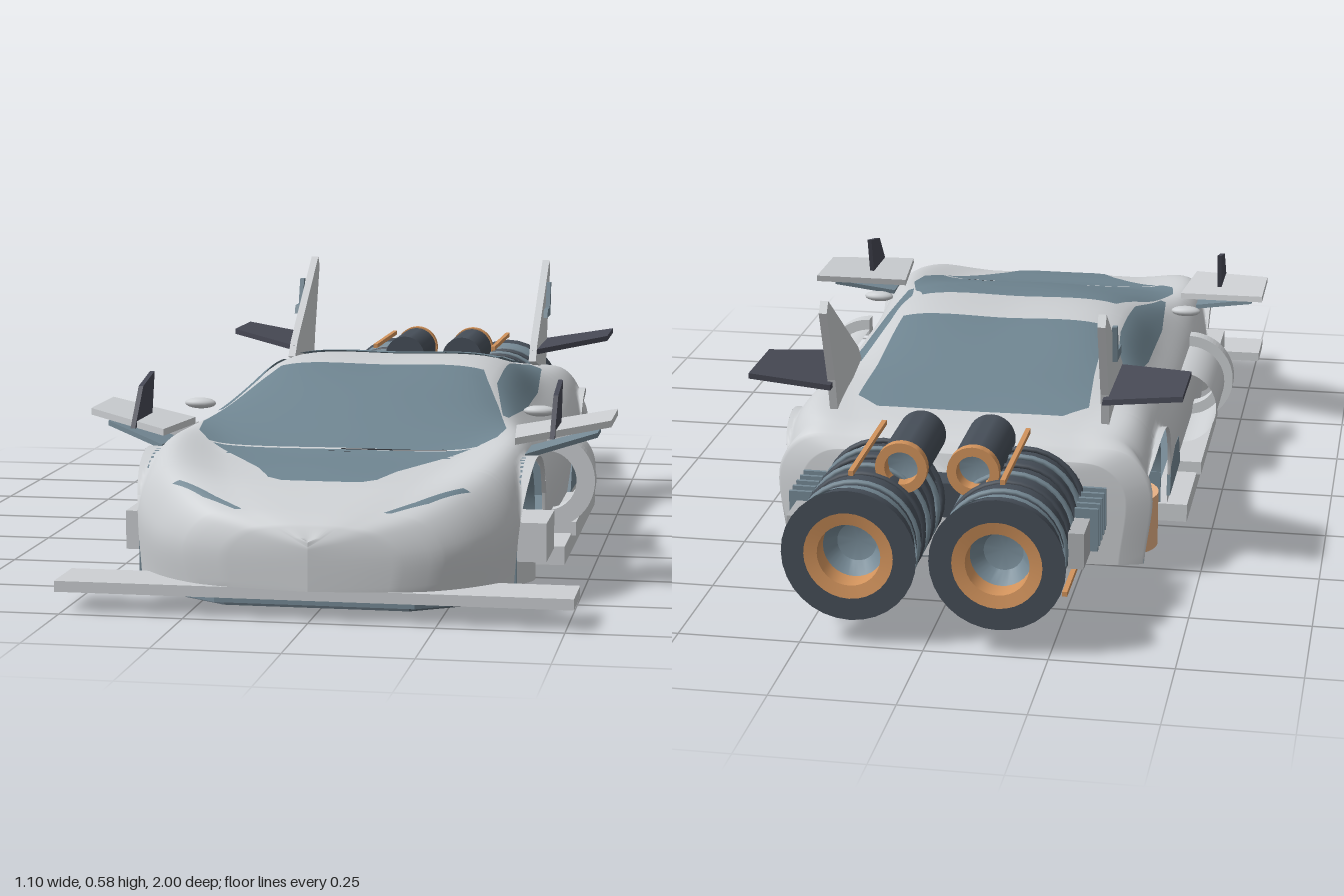
import * as THREE from 'three';
import { toCreasedNormals } from 'three/addons/utils/BufferGeometryUtils.js';

const paint = (name, color) => new THREE.MeshStandardMaterial({ name, color, side: THREE.DoubleSide });
const M = {
  body: paint('silver paint', 0xcdd0d3), glass: paint('slate glass', 0x6f8591),
  slate: paint('slate metal', 0x768a96), dark: paint('engine steel', 0x464e58),
  wing: paint('dark wing', 0x474955), under: paint('underbody', 0x596670),
  copper: paint('copper', 0xd2935c), paleCopper: paint('pale copper', 0xe8b286),
  black: paint('black trim', 0x2b2d31), grey: paint('grey metal', 0xb0b3b6),
};

// body stations: z, centre height, then roof edge, shoulder and widest side as x,y, then sill x
const STATIONS = [
  [.998, .15, 0, .15, 0, .145, 0, .12, 0],
  [.98, .185, .06, .183, .12, .17, .16, .13, .15],
  [.95, .212, .12, .209, .21, .195, .255, .14, .24],
  [.88, .245, .17, .245, .285, .238, .338, .16, .33],
  [.8, .262, .2, .262, .33, .275, .385, .2, .385],
  [.65, .28, .24, .283, .355, .3, .402, .23, .4],
  [.5, .325, .28, .312, .355, .302, .405, .22, .4],
  [.35, .363, .27, .34, .34, .302, .4, .22, .395],
  [.2, .388, .25, .372, .335, .305, .4, .22, .395],
  [.05, .398, .25, .387, .335, .305, .4, .22, .395],
  [-.1, .394, .25, .381, .335, .307, .4, .22, .395],
  [-.3, .362, .25, .352, .345, .322, .402, .24, .4],
  [-.45, .332, .25, .331, .352, .32, .4, .24, .395],
  [-.53, .306, .22, .306, .335, .298, .385, .22, .375],
  [-.58, .262, .2, .26, .3, .25, .345, .2, .335],
  [-.6, .2, 0, .2, 0, .19, 0, .16, 0],
];
const ARCHES = [{ z: .65, y: .12, r: .162 }, { z: -.41, y: .13, r: .15 }];

// smooth value of every station column at z
function station(z) {
  const S = STATIONS, n = S.length - 1;
  let i = 0;
  while (i < n - 1 && z < S[i + 1][0]) i++;
  const a = S[i], b = S[i + 1], h = b[0] - a[0], t = THREE.MathUtils.clamp((z - a[0]) / h, 0, 1);
  const p = S[Math.max(i - 1, 0)], q = S[Math.min(i + 2, n)], t2 = t * t, t3 = t2 * t;
  return a.map((v, k) => (2 * t3 - 3 * t2 + 1) * v + (t3 - 2 * t2 + t) * h * (b[k] - p[k]) / (b[0] - p[0])
    + (3 * t2 - 2 * t3) * b[k] + (t3 - t2) * h * (q[k] - v) / (q[0] - a[0]));
}

// full cross-section from the right sill over the roof to the left sill
function section(z, count) {
  const [, yc, x1, y1, x2, y2, x3, y3, x4] = station(z);
  const half = [[x1, y1], [x2, y2], [x3, y3], [x4, .035]];
  const pts = [...half].reverse().map(([x, y]) => new THREE.Vector3(-x, y, z));
  pts.push(new THREE.Vector3(0, yc, z), ...half.map(([x, y]) => new THREE.Vector3(x, y, z)));
  return new THREE.CatmullRomCurve3(pts).getPoints(count);
}

// surface through rows of points, rows running backwards and columns towards +x
function skin(rows) {
  const w = rows[0].length, index = [];
  for (let i = 0; i < rows.length - 1; i++) for (let j = 0; j < w - 1; j++) {
    const a = i * w + j;
    index.push(a, a + 1, a + w, a + 1, a + w + 1, a + w);
  }
  const g = new THREE.BufferGeometry().setFromPoints(rows.flat());
  g.setIndex(index);
  g.computeVertexNormals();
  return g;
}

function hull() {
  const zs = STATIONS.map(s => s[0]);
  for (let i = 0; i < 110; i++) zs.push(.99 - i * 1.585 / 110);
  for (const a of ARCHES) for (const s of [-1, 1]) zs.push(a.z + s * (a.r - .0005), a.z + s * (a.r + .0005));
  zs.sort((a, b) => b - a);
  return skin(zs.map(z => {
    let low = z > .96 ? .062 : .035;
    for (const a of ARCHES) if (Math.abs(z - a.z) < a.r) low = a.y + Math.sqrt(a.r ** 2 - (z - a.z) ** 2);
    return section(z, 64).map(p => p.setY(Math.max(p.y, low)));
  }));
}

function topAt(z, x) {
  const s = section(z, 160);
  let k = s.findIndex((p, i) => i < 160 && p.x <= x && s[i + 1].x >= x);
  if (k < 0) k = 0;
  return THREE.MathUtils.lerp(s[k].y, s[k + 1].y, (x - s[k].x) / (s[k + 1].x - s[k].x || 1));
}

// thin panel laid on the hull; each table row is z, smallest x, largest x
function panel(table, cols) {
  const rows = [];
  for (let i = 0; i < table.length - 1; i++) for (let k = i ? 1 : 0; k <= 8; k++) {
    const [z, lo, hi] = table[i].map((v, c) => THREE.MathUtils.lerp(v, table[i + 1][c], k / 8));
    rows.push(Array.from({ length: cols + 1 }, (_, j) => {
      const x = THREE.MathUtils.lerp(lo, hi, j / cols);
      return new THREE.Vector3(x, topAt(z, x) + .005, z);
    }));
  }
  return skin(rows);
}

const extrude = (pts, depth) => new THREE.ExtrudeGeometry(
  new THREE.Shape(pts.map(p => new THREE.Vector2(...p))), { depth, bevelEnabled: false });
// upright plate from z,y points
const upright = (pts, x, t) => extrude(pts, t).rotateY(-Math.PI / 2).translate(x + t / 2, 0, 0);
// flat plate from x,z points, rising by slope away from x0
function flat(pts, y, t, slope = 0, x0 = 0) {
  const g = extrude(pts, t).rotateX(Math.PI / 2).translate(0, y, 0), p = g.attributes.position;
  for (let i = 0; i < p.count; i++) p.setY(i, p.getY(i) + slope * (p.getX(i) - x0));
  g.computeVertexNormals();
  return g;
}
const box = (x0, x1, y0, y1, z0, z1) => new THREE.BoxGeometry(x1 - x0, y1 - y0, z1 - z0)
  .translate((x0 + x1) / 2, (y0 + y1) / 2, (z0 + z1) / 2);
const lathe = pts => toCreasedNormals(new THREE.LatheGeometry(pts.map(p => new THREE.Vector2(...p)), 32), .6);
// turned part along the car: radius, distance behind the origin
const turned = (pts, x, y) => lathe(pts).rotateX(-Math.PI / 2).translate(x, y, 0);

export function createModel() {
  const model = new THREE.Group();
  model.name = 'hoverCar';
  const side = new THREE.Group();
  side.name = 'leftSide';
  const add = (name, geo, mat, parent = model) => {
    const m = new THREE.Mesh(geo, mat);
    m.name = name;
    parent.add(m);
  };
  const left = (name, geo, mat) => add(name, geo, mat, side);
  const even = rows => rows.map(([z, w]) => [z, -w, w]);

  // shell and centre glass
  add('bodyShell', hull(), M.body);
  add('hoodGlass', panel(even([[.86, .08], [.845, .11], [.79, .14], [.73, .19], [.645, .27]]), 20), M.glass);
  add('windscreen', panel(even([[.637, .28], [.58, .315], [.5, .325], [.35, .29], [.2, .245], [.14, .23]]), 24), M.glass);
  add('rearWindow', panel(even([[-.05, .235], [-.3, .24], [-.45, .25], [-.49, .2]]), 20), M.glass);
  for (const [a, b] of [[-.15, .05], [0, .22]])
    add('wiper', panel([[.645 - a * .12, a, a + .01], [.64 - a * .12, a, b], [.632 - a * .12, b - .01, b]], 8), M.black);

  // underbody and front splitter
  const floor = [[.2, .94], [.3, .88], [.33, .82], [.22, .8], [.21, .5], [.38, .46], [.385, -.24], [.23, -.28], [.22, -.56]];
  const mirror = pts => [...pts, ...[...pts].reverse().map(([x, z]) => [-x, z])];
  add('floorFrame', flat(mirror(floor), .04, .018), M.slate);
  add('floorPlate', flat(mirror(floor.map(([x, z]) => [x * .93, z * .975])), .023, .011), M.under);
  add('splitter', box(-.515, .515, .04, .062, .855, .98), M.body);
  add('engineMount', box(-.25, .25, .15, .225, -.66, -.57), M.dark);

  // side glass, lamps, mirrors
  left('sideWindow', panel([[.4, .305, .318], [.2, .267, .332], [-.05, .265, .33], [-.27, .285, .315]], 8), M.glass);
  left('headlight', panel([[.95, .14, .155], [.92, .2, .225], [.87, .285, .3]], 6), M.glass);
  left('mirror', new THREE.SphereGeometry(1, 16, 10).scale(.035, .012, .018).translate(.375, .328, .32), M.body);
  left('sideIntake', upright([[-.06, .085], [-.1, .16], [-.25, .17], [-.27, .08]], .403, .008), M.slate);

  // wheel wells
  for (const a of ARCHES) {
    left('wheelWell', new THREE.CylinderGeometry(a.r, a.r, .18, 32, 1, true, 0, Math.PI)
      .rotateZ(Math.PI / 2).translate(.295, a.y, a.z), M.slate);
    for (const s of [-1, 1]) left('wellEnd', box(.21, .385, .035, a.y, a.z + s * a.r - .002, a.z + s * a.r + .002), M.slate);
    const arc = Array.from({ length: 21 }, (_, i) => i * Math.PI / 20)
      .map(t => [a.z + a.r * Math.cos(t), a.y + a.r * Math.sin(t)]);
    left('wellWall', upright([...arc, [a.z - a.r, .03], [a.z + a.r, .03]], .208, .006), M.slate);
  }

  // hover thrusters
  left('frontThrusterBox', box(.21, .435, .08, .16, .58, .73), M.body);
  left('frontThruster', new THREE.CylinderGeometry(.075, .075, .07, 28).translate(.33, .065, .655), M.body);
  left('rearThruster', lathe([[.055, .08], [.055, 0], [.083, 0], [.083, .12], [0, .12]]).translate(.308, 0, -.36), M.paleCopper);
  left('rearThrusterCore', new THREE.CylinderGeometry(.054, .054, .01, 28).translate(.308, .08, -.36), M.paleCopper);
  left('rearThrusterArm', box(.21, .36, .12, .16, -.42, -.3), M.body);

  // side skirt and hollow pod
  left('sideSkirt', box(.37, .445, .02, .06, -.27, .46), M.body);
  left('skirtStep', box(.38, .455, .055, .085, -.06, .31), M.body);
  left('sidePod', new THREE.CylinderGeometry(.085, .085, .21, 28, 1, true, 0, Math.PI)
    .rotateX(Math.PI / 2).translate(.39, .17, .175), M.body);
  const clamp = new THREE.Shape().absarc(0, 0, .105, -Math.PI / 2, Math.PI / 2, false);
  clamp.absarc(0, 0, .065, Math.PI / 2, -Math.PI / 2, true);
  left('podClamp', new THREE.ExtrudeGeometry(clamp, { depth: .035, bevelEnabled: false, curveSegments: 20 })
    .translate(.39, .175, .275), M.body);

  // front canards
  left('canard', flat([[.345, .49], [.55, .4], [.55, .575], [.365, .685]], .322, .014, .13, .345), M.body);
  left('canardBrace', flat([[.38, .52], [.52, .47], [.52, .55], [.38, .64]], .285, .01, .24, .38), M.slate);
  left('canardFin', upright([[.66, .32], [.59, .4], [.495, .42], [.52, .325]], .437, .01), M.wing);

  // rear fins and wings
  left('tailFin', upright([[-.27, .36], [-.3, .395], [-.565, .578], [-.582, .555], [-.52, .39], [-.5, .31]], .292, .017), M.body);
  left('finPlate', upright([[-.41, .45], [-.42, .47], [-.46, .47], [-.48, .53], [-.495, .53], [-.48, .45]], .308, .01), M.slate);
  left('rearWing', flat([[.29, -.29], [.46, -.395], [.46, -.565], [.29, -.54]], .385, .012, .15, .29), M.wing);

  // main engine
  const ex = .148, ey = .19;
  left('engineNozzle', turned([[0, .63], [.108, .63], [.114, .66], [.122, .9], [.118, .94], [.136, .997], [.088, .997]], ex, ey), M.dark);
  left('nozzleRing', turned([[.09, .999], [.064, .994], [.062, .93]], ex, ey), M.copper);
  left('nozzleCore', turned([[.064, .95], [.04, .92], [0, .91]], ex, ey), M.slate);
  left('nozzleBand', turned([[.121, .925], [.122, .94], [.131, .965]], ex, ey), M.slate);
  for (const [i, z] of [.66, .71, .76, .81, .86, .91].entries())
    left('engineBand', new THREE.TorusGeometry(.122, .006, 6, 32).translate(ex, ey, -z), i % 2 ? M.slate : M.dark);

  // upper booster and fittings
  left('booster', turned([[0, .63], [.05, .63], [.05, .83], [.036, .835]], .073, .322), M.dark);
  left('boosterRing', turned([[.05, .825], [.053, .825], [.053, .845], [.034, .845], [.034, .8]], .073, .322), M.copper);
  left('boosterCore', turned([[.035, .81], [0, .8]], .073, .322), M.slate);
  left('upperPipe', box(.146, .156, .34, .35, -.95, -.64), M.copper);
  left('lowerPipe', box(.268, .278, .11, .12, -.94, -.66), M.copper);
  left('lowerRail', box(.14, .156, .034, .044, -.95, -.67), M.grey);
  left('enginePanel', box(.27, .302, .145, .22, -.88, -.66), M.grey);
  for (let i = 0; i < 5; i++) {
    const z = -.67 - i * .03;
    left('engineProng', box(.27, .318, .15, .24, z - .004, z + .004), M.slate);
  }

  // mirrored half
  const other = side.clone();
  other.name = 'rightSide';
  other.scale.x = -1;
  model.add(side, other);
  return model;
}
